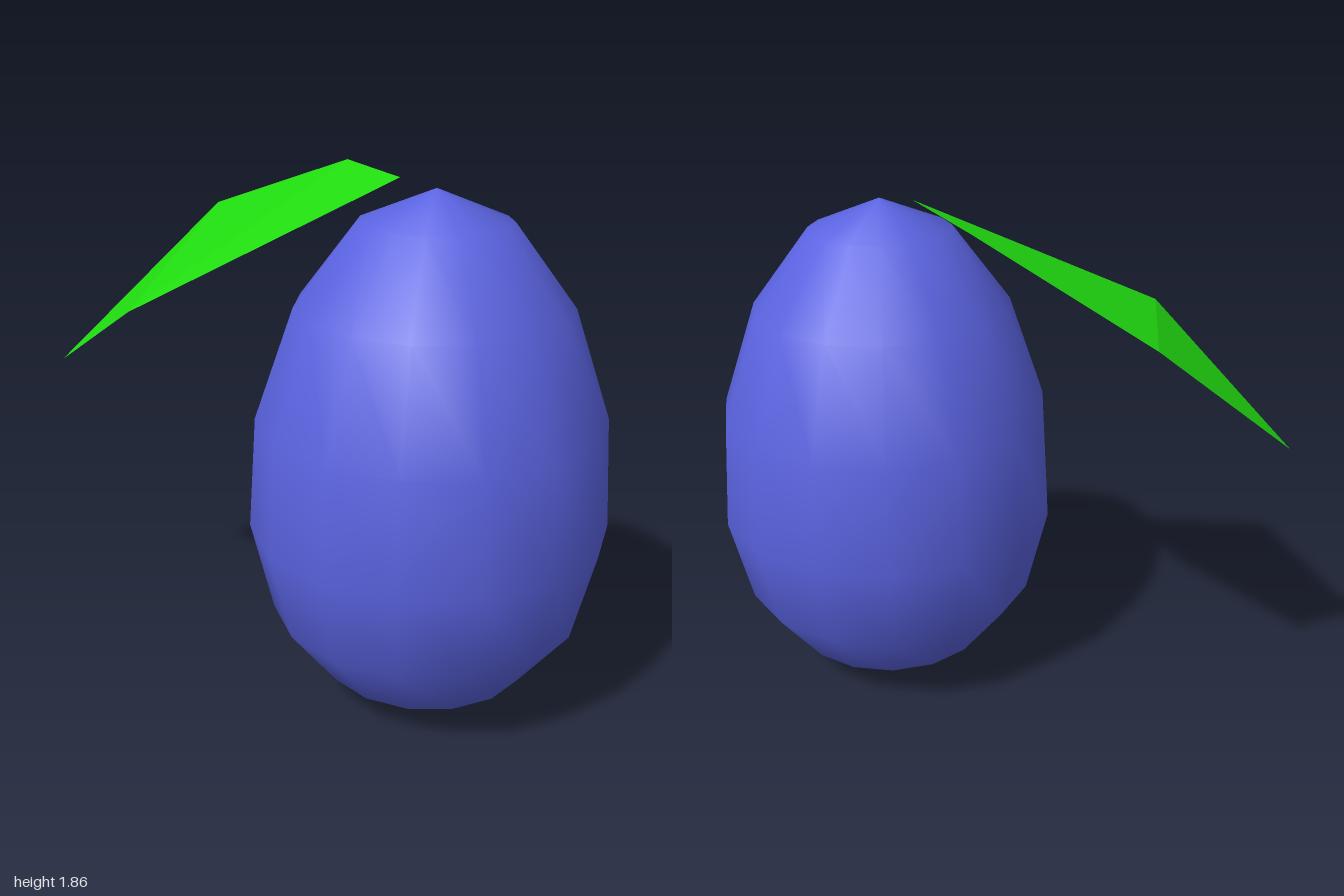
import * as THREE from 'three';

export function createModel() {
  const group = new THREE.Group();

  // Egg-shaped fruit: smooth 15-sided lathe with one corner facing the back
  const profile = [
    [0, 0], [0.37, 0.13], [0.548, 0.36], [0.626, 0.685],
    [0.6, 1.08], [0.468, 1.46], [0.256, 1.74], [0, 1.845],
  ].map(([r, y]) => new THREE.Vector2(r, y));
  const fruit = new THREE.Mesh(
    new THREE.LatheGeometry(profile, 15, Math.PI),
    new THREE.MeshStandardMaterial({ color: 0x5a63e0 })
  );
  fruit.name = 'fruit';
  fruit.position.set(0.037, 0, 0.385);
  group.add(fruit);

  // Leaf: one thin folded five-cornered sheet, drooping to the back
  const corners = [
    0.04, 1.86, 0.23, // tip over the fruit
    0.245, 1.85, -0.185,
    0.225, 1.61, -0.86,
    -0.475, 1.09, -1.0,
    -0.665, 1.445, -0.335,
  ];
  const sheet = new THREE.BufferGeometry();
  sheet.setAttribute('position', new THREE.Float32BufferAttribute(corners, 3));
  sheet.setIndex([0, 1, 4, 1, 2, 4, 2, 3, 4]);
  const leafGeometry = sheet.toNonIndexed();
  leafGeometry.computeVertexNormals();
  const leaf = new THREE.Mesh(
    leafGeometry,
    new THREE.MeshStandardMaterial({ color: 0x20dd10, side: THREE.DoubleSide, flatShading: true })
  );
  leaf.name = 'leaf';
  group.add(leaf);

  return group;
}
